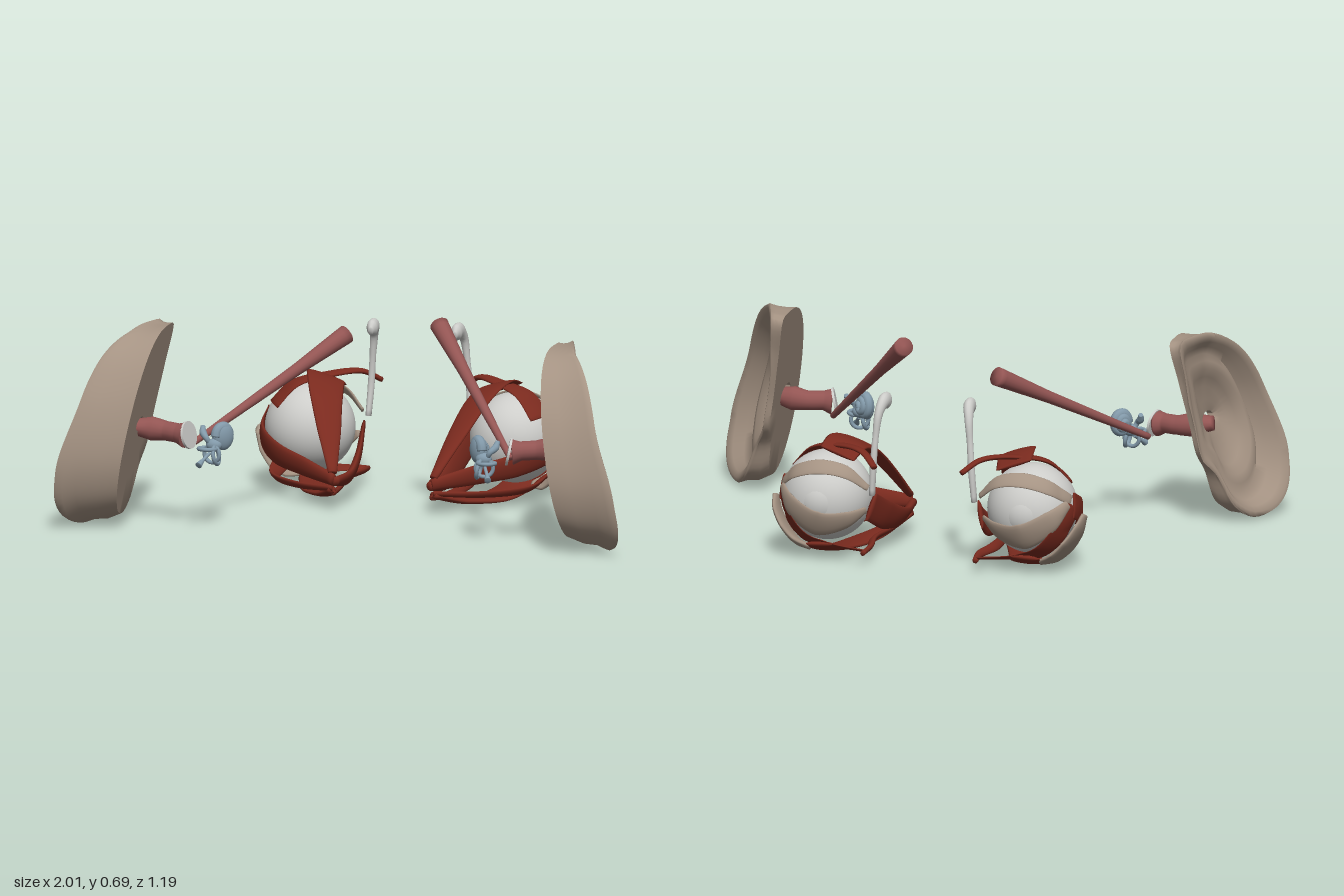
import * as THREE from 'three';
import { toCreasedNormals } from 'three/addons/utils/BufferGeometryUtils.js';

const V = (a) => new THREE.Vector3(...a);
const paint = (name, color) => Object.assign(new THREE.MeshStandardMaterial({ color }), { name });

// Joins equal-sized rings of points; ends are capped unless the rings close into a loop.
function loft(rings, loop = false) {
  const n = rings[0].length, m = rings.length, pos = [], idx = [];
  rings.forEach((r) => r.forEach((p) => pos.push(p.x, p.y, p.z)));
  for (let i = 0; i < (loop ? m : m - 1); i++) {
    for (let j = 0; j < n; j++) {
      const k = (j + 1) % n, i2 = (i + 1) % m;
      const a = i * n + j, b = i * n + k, c = i2 * n + k, d = i2 * n + j;
      idx.push(a, b, c, a, c, d);
    }
  }
  if (!loop) {
    for (const [i, flip] of [[0, true], [m - 1, false]]) {
      const mid = new THREE.Vector3();
      rings[i].forEach((p) => mid.addScaledVector(p, 1 / n));
      const c = pos.length / 3;
      pos.push(mid.x, mid.y, mid.z);
      for (let j = 0; j < n; j++) {
        const a = i * n + j, b = i * n + (j + 1) % n;
        if (flip) idx.push(c, b, a); else idx.push(c, a, b);
      }
    }
  }
  // Turn the faces outward by the sign of the enclosed volume.
  const at = (i) => new THREE.Vector3().fromArray(pos, i * 3);
  let volume = 0;
  for (let i = 0; i < idx.length; i += 3) volume += at(idx[i]).dot(at(idx[i + 1]).cross(at(idx[i + 2])));
  if (volume < 0) idx.reverse();
  const g = new THREE.BufferGeometry();
  g.setAttribute('position', new THREE.Float32BufferAttribute(pos, 3));
  g.setIndex(idx);
  g.computeVertexNormals();
  return g;
}

const sample = (list, u) => {
  const f = u * (list.length - 1), i = Math.min(Math.floor(f), list.length - 2);
  return list.length === 1 ? list[0] : THREE.MathUtils.lerp(list[i], list[i + 1], f - i);
};

// Sweeps an oval along a path. With a ball, the wide side hugs the ball's surface.
function sweep(path, wide, thick, { ref = [0, 1, 0], ball = null, steps = 32, sides = 16 } = {}) {
  const curve = new THREE.CatmullRomCurve3(path.map(V));
  const rings = [];
  for (let i = 0; i <= steps; i++) {
    const u = i / steps, p = curve.getPoint(u), t = curve.getTangent(u);
    const n = ball ? p.clone().sub(ball.center) : V(ref);
    n.addScaledVector(t, -n.dot(t)).normalize();
    const b = t.clone().cross(n), w = sample(wide, u), h = sample(thick, u), ring = [];
    for (let j = 0; j < sides; j++) {
      const a = (j / sides) * Math.PI * 2;
      const q = p.clone().addScaledVector(b, Math.cos(a) * w).addScaledVector(n, Math.sin(a) * h);
      if (ball) {
        const d = q.clone().sub(ball.center), min = ball.radius + 0.002 + (Math.sin(a) > 0 ? h * Math.sin(a) : 0);
        if (d.length() < min) q.copy(ball.center).addScaledVector(d.normalize(), min);
      }
      ring.push(q);
    }
    rings.push(ring);
  }
  return loft(rings);
}

function mirrored(source) {
  const g = source.clone().scale(-1, 1, 1);
  if (!g.index) g.setIndex([...Array(g.attributes.position.count).keys()]);
  g.index.array.reverse();
  return g;
}

// Outer ear: back wall, rim, folds and a bowl with an opening, as one closed loop of rings.
function earGeometry() {
  const { lerp, clamp, smoothstep } = THREE.MathUtils;
  const outline = new THREE.CatmullRomCurve3([
    [0.155, 0.67], [0.225, 0.683], [0.35, 0.67], [0.45, 0.61], [0.535, 0.485], [0.585, 0.325], [0.592, 0.2],
    [0.56, 0.09], [0.5, 0.025], [0.42, 0.01], [0.345, 0.06], [0.3, 0.18], [0.235, 0.26], [0.22, 0.37], [0.185, 0.53],
  ].map(([z, y]) => new THREE.Vector3(0, y, z)), true).getSpacedPoints(80).slice(0, 80);
  const cut = (y) => 0.685 + 0.18 * (0.68 - y);
  const rim = (y, z) => 0.73 + 0.61 * (z - 0.15) + 0.03 * (1 - smoothstep(y, 0.02, 0.2))
    - 0.06 * smoothstep(y, 0.12, 0.47) * clamp((z - 0.15) / 0.2, 0, 1);
  // [distance out from the opening, height from back plane to rim]
  const profile = [
    [0, 0], [0.5, 0], [0.94, 0], [0.965, 0.35], [0.975, 0.7], [0.99, 0.88], [1, 0.96], [0.985, 1.02], [0.94, 1.03], [0.88, 0.95],
    [0.82, 0.76], [0.73, 0.63], [0.64, 0.68], [0.54, 0.67], [0.44, 0.5], [0.32, 0.35], [0.15, 0.26], [0, 0.16],
  ];
  return toCreasedNormals(loft(profile.map(([s, k], i) => outline.map((p) => {
    const a = Math.atan2(p.y - 0.35, p.z - 0.4);
    let f = s;
    if (i === 2) f = 0.88 + 0.09 * Math.min(1, p.y / 0.5);
    if (i === 3 || i === 4) f -= 0.04 * smoothstep(p.z, 0.35, 0.55);
    const y = lerp(0.355 + 0.024 * Math.sin(a), p.y, f);
    const z = lerp(0.4 + 0.048 * Math.cos(a), p.z, f);
    return new THREE.Vector3(cut(y) + k * Math.max(0.02, rim(y, z) - cut(y)), y, z);
  })), true), 1);
}

export function createModel() {
  const model = new THREE.Group();
  const skin = paint('skin tan', 0xa59383), muscle = paint('muscle red', 0x7a2a1e);
  const white = paint('eye white', 0xcdcdca), nerve = paint('canal mauve', 0x935553);
  const blue = paint('inner ear blue', 0x8299a9);
  const add = (name, geo, mat, group = model) => {
    const mesh = new THREE.Mesh(geo, mat);
    mesh.name = name;
    group.add(mesh);
  };

  const ball = { center: V([0.365, 0.21, -0.43]), radius: 0.156 };
  const strap = (path, wide, thick = [0.008]) => sweep(path, wide, thick, { ball });
  const parts = [];
  const part = (name, geo, mat) => parts.push([name, geo, mat]);

  // Eyeball and cornea
  part('eyeball', new THREE.SphereGeometry(ball.radius, 48, 32).translate(...ball.center.toArray()), white);
  part('cornea', new THREE.SphereGeometry(0.1, 32, 20).translate(0.365, 0.21, -0.49), white);

  // Eye muscles, gathering at the rear
  part('upperMuscle', strap([[0.18, 0.13, -0.045], [0.225, 0.25, -0.165], [0.27, 0.355, -0.29], [0.3, 0.392, -0.4], [0.315, 0.37, -0.49]],
    [0.016, 0.042, 0.06, 0.07, 0.066], [0.012, 0.012, 0.009, 0.006]), muscle);
  part('outerMuscle', strap([[0.175, 0.105, -0.04], [0.3, 0.13, -0.12], [0.43, 0.155, -0.22], [0.512, 0.19, -0.35], [0.519, 0.235, -0.46]],
    [0.022, 0.036, 0.045, 0.047, 0.045], [0.014, 0.014, 0.012, 0.006]), muscle);
  part('innerMuscle', strap([[0.17, 0.1, -0.04], [0.163, 0.09, -0.2], [0.175, 0.13, -0.36], [0.195, 0.19, -0.49]],
    [0.016, 0.036, 0.05, 0.05], [0.014, 0.014, 0.008]), muscle);
  part('lowerMuscle', strap([[0.18, 0.07, -0.04], [0.24, 0.03, -0.18], [0.31, 0.014, -0.33], [0.355, 0.03, -0.47], [0.365, 0.06, -0.54]],
    [0.014, 0.04, 0.057, 0.06, 0.05], [0.012, 0.012, 0.008]), muscle);
  part('lowerSlimMuscle', strap([[0.175, 0.06, -0.04], [0.2, 0.045, -0.2], [0.215, 0.05, -0.38], [0.195, 0.05, -0.5], [0.2, 0.045, -0.575]],
    [0.01, 0.016, 0.018, 0.014, 0.01], [0.009]), muscle);
  part('outerSlimMuscle', strap([[0.18, 0.075, -0.04], [0.33, 0.06, -0.15], [0.45, 0.06, -0.28], [0.47, 0.075, -0.42]],
    [0.01, 0.016, 0.02, 0.03], [0.008]), muscle);
  part('upperOblique', strap([[0.155, 0.355, -0.59], [0.21, 0.392, -0.535], [0.31, 0.39, -0.45], [0.41, 0.365, -0.39], [0.475, 0.295, -0.36]],
    [0.012, 0.016, 0.026, 0.042, 0.05], [0.009, 0.009, 0.006]), muscle);
  part('outerBand', strap([[0.51, 0.23, -0.46], [0.485, 0.15, -0.515], [0.42, 0.08, -0.53], [0.34, 0.055, -0.52], [0.2, 0.05, -0.56]],
    [0.045, 0.045, 0.04, 0.028, 0.012], [0.004]), muscle);

  // Eyelid plates wrapping the front of the ball, and the gland below the outer corner
  part('upperLidPlate', strap([[0.2, 0.26, -0.51], [0.27, 0.32, -0.545], [0.36, 0.335, -0.555], [0.45, 0.31, -0.535], [0.51, 0.255, -0.47]],
    [0.012, 0.026, 0.03, 0.028, 0.02], [0.006]), skin);
  part('lowerLidPlate', strap([[0.508, 0.245, -0.495], [0.462, 0.195, -0.555], [0.365, 0.14, -0.575], [0.27, 0.15, -0.545], [0.21, 0.18, -0.5]],
    [0.016, 0.04, 0.054, 0.036, 0.012], [0.008, 0.01, 0.01, 0.01, 0.006]), skin);
  part('gland', strap([[0.55, 0.195, -0.43], [0.535, 0.145, -0.455], [0.5, 0.09, -0.475], [0.455, 0.05, -0.49], [0.41, 0.035, -0.495]],
    [0.025, 0.06, 0.074, 0.058, 0.02], [0.01, 0.013, 0.013, 0.01]), skin);

  // Tear duct with a bulbous end
  part('tearDuct', sweep([[0.15, 0.553, -0.428], [0.15, 0.56, -0.45], [0.152, 0.562, -0.48], [0.16, 0.53, -0.512], [0.168, 0.45, -0.525], [0.175, 0.35, -0.53], [0.182, 0.24, -0.52]],
    [0.012, 0.03, 0.028, 0.017, 0.011, 0.012, 0.016], [0.008, 0.02, 0.02, 0.015, 0.011, 0.012, 0.01], { ref: [1, 0, 0] }), white);

  // Outer ear, canal and drum
  part('outerEar', earGeometry(), skin);
  part('earCanal', sweep([[0.58, 0.325, 0.4], [0.61, 0.328, 0.392], [0.66, 0.33, 0.372], [0.71, 0.335, 0.37], [0.785, 0.342, 0.385]],
    [0.046, 0.034, 0.034, 0.04, 0.036], [0.046, 0.034, 0.034, 0.042, 0.024]), nerve);
  part('earDrum', new THREE.CylinderGeometry(0.048, 0.048, 0.008, 28).rotateZ(Math.PI / 2 - 0.2).rotateY(0.25).translate(0.57, 0.325, 0.4), white);

  // Inner ear: coiled shell, three looped canals and small bones
  const coil = [];
  for (let i = 0; i <= 30; i++) {
    const a = (i / 30) * Math.PI * 5, r = 0.03 * (1 - i / 38);
    coil.push([r * Math.cos(a), 1.25 * r * Math.sin(a), -i * 0.0012]);
  }
  const place = (geo) => geo.rotateY(-0.75).translate(0.452, 0.322, 0.38);
  part('coiledShell', place(sweep(coil, [0.018, 0.01], [0.018, 0.01], { ref: [0, 0, 1], steps: 110, sides: 10 })), blue);
  part('shellCore', place(new THREE.SphereGeometry(0.038, 24, 16).scale(1, 1.25, 0.55)), blue);
  part('vestibule', new THREE.SphereGeometry(0.022, 20, 14).scale(1.3, 1, 1).translate(0.48, 0.295, 0.4), blue);
  for (const [rx, ry, x, y, z] of [[0, 0.3, 0.485, 0.265, 0.41], [1.5, 0.2, 0.497, 0.285, 0.425], [0.2, 1.6, 0.468, 0.262, 0.42]]) {
    part('loopedCanal', new THREE.TorusGeometry(0.03, 0.007, 10, 32).rotateX(rx).rotateY(ry).translate(x, y, z), blue);
  }
  part('smallBone', sweep([[0.49, 0.29, 0.4], [0.505, 0.32, 0.41], [0.52, 0.335, 0.395], [0.525, 0.355, 0.38]],
    [0.007, 0.01, 0.013, 0.008], [0.007, 0.01, 0.013, 0.008], { ref: [0, 0, 1] }), blue);
  part('boneStalk', sweep([[0.49, 0.27, 0.42], [0.505, 0.25, 0.45], [0.515, 0.235, 0.475]], [0.006, 0.006, 0.012], [0.006, 0.006, 0.012], { ref: [1, 0, 0] }), blue);

  for (const side of ['left', 'right']) {
    const group = new THREE.Group();
    group.name = side + 'Side';
    for (const [name, geo, mat] of parts) add(name, side === 'left' ? geo : mirrored(geo), mat, group);
    model.add(group);
  }

  // Long tubes from the ears, at slightly different slopes
  const tube = (from, to) => sweep([from, V(from).lerp(V(to), 0.5).toArray(), to], [0.011, 0.016, 0.021, 0.033], [0.011, 0.016, 0.021, 0.033]);
  add('leftLongTube', tube([0.56, 0.29, 0.34], [0.19, 0.66, -0.08]), nerve);
  add('rightLongTube', tube([-0.565, 0.29, 0.34], [-0.16, 0.595, -0.155]), nerve);
  return model;
}
